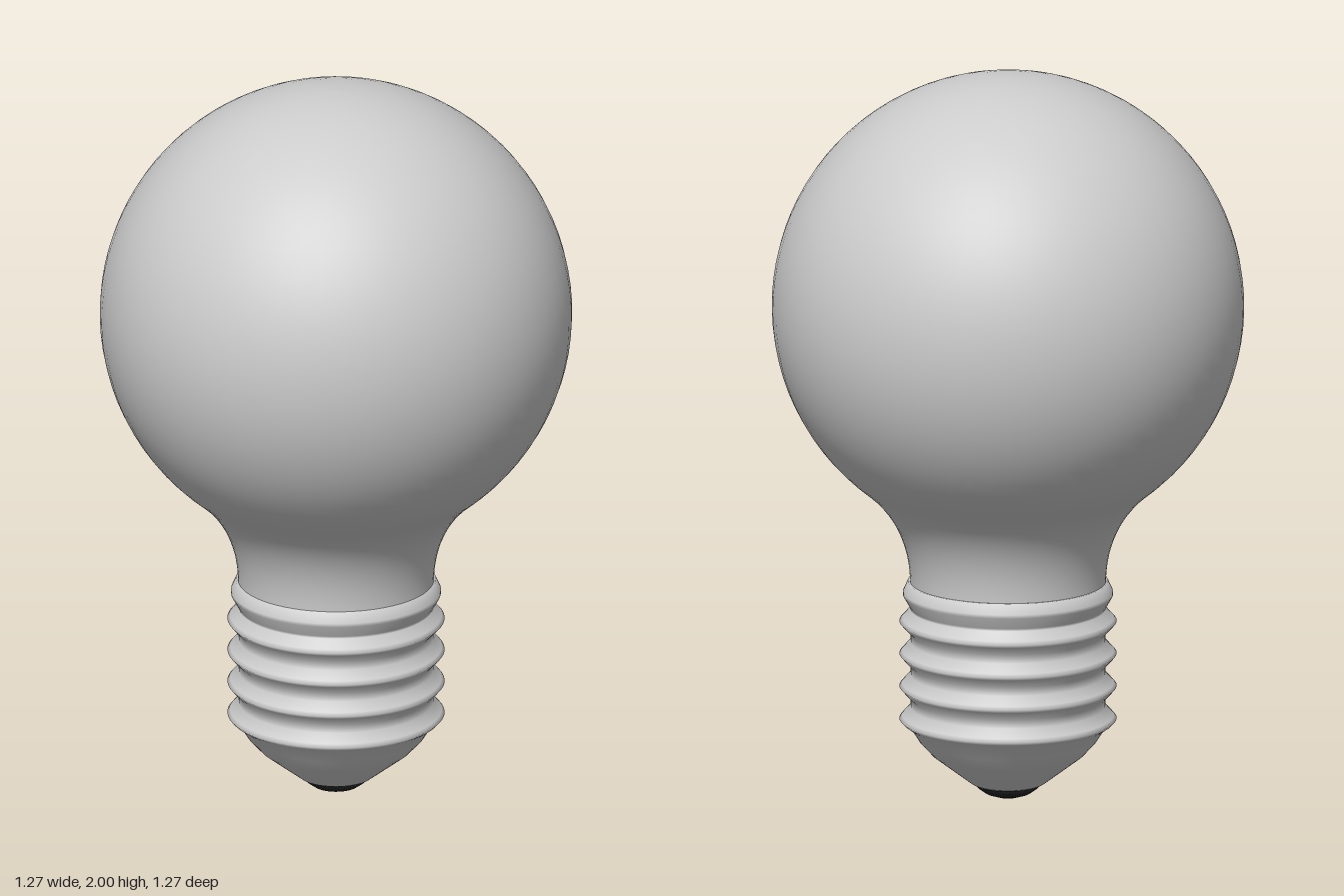
import * as THREE from 'three';

const SEGMENTS = 64;

// Revolved part from [radius, height] points, listed bottom to top
function lathe(name, points, color) {
  const geometry = new THREE.LatheGeometry(points.map(([r, y]) => new THREE.Vector2(r, y)), SEGMENTS);
  const material = new THREE.MeshStandardMaterial({ color, side: THREE.DoubleSide });
  const mesh = new THREE.Mesh(geometry, material);
  mesh.name = name;
  return mesh;
}

export function createModel() {
  const group = new THREE.Group();
  group.name = 'lightBulb';

  // Glass: a flared neck running into a round globe
  const R = 0.637, centerY = 2 - R;
  const start = -0.92; // angle below the equator where the neck meets the globe
  const join = new THREE.Vector2(R * Math.cos(start), centerY + R * Math.sin(start));
  const neck = new THREE.CubicBezierCurve(
    new THREE.Vector2(0.264, 0.59), new THREE.Vector2(0.264, 0.7),
    new THREE.Vector2(0.305, 0.79), join);
  const glass = neck.getPoints(14).map(p => [p.x, p.y]);
  const steps = 36;
  for (let i = 1; i <= steps; i++) {
    const a = start + (Math.PI / 2 - start) * i / steps;
    glass.push([i === steps ? 0 : R * Math.cos(a), centerY + R * Math.sin(a)]);
  }
  group.add(lathe('glassGlobe', glass, 0xcccccc));

  // Screw base: tapered bottom, four thread ridges and a top collar
  const base = [[0.085, 0.036], [0.1, 0.042], [0.15, 0.08], [0.205, 0.122], [0.24, 0.16], [0.262, 0.195]];
  for (let i = 0; i < 4; i++) {
    const y = 0.22 + i * 0.09;
    if (i > 0) base.push([0.263, y - 0.033]);
    base.push([0.285, y - 0.009], [0.293, y], [0.285, y + 0.009], [0.263, y + 0.033]);
  }
  base.push([0.265, 0.53], [0.283, 0.562], [0.283, 0.572], [0.27, 0.6], [0.255, 0.6]);
  group.add(lathe('screwBase', base, 0xcccccc));

  // Dark contact at the bottom
  group.add(lathe('contactTip',
    [[0, 0], [0.03, 0.003], [0.06, 0.013], [0.08, 0.027], [0.09, 0.039], [0, 0.039]], 0x222222));

  return group;
}
